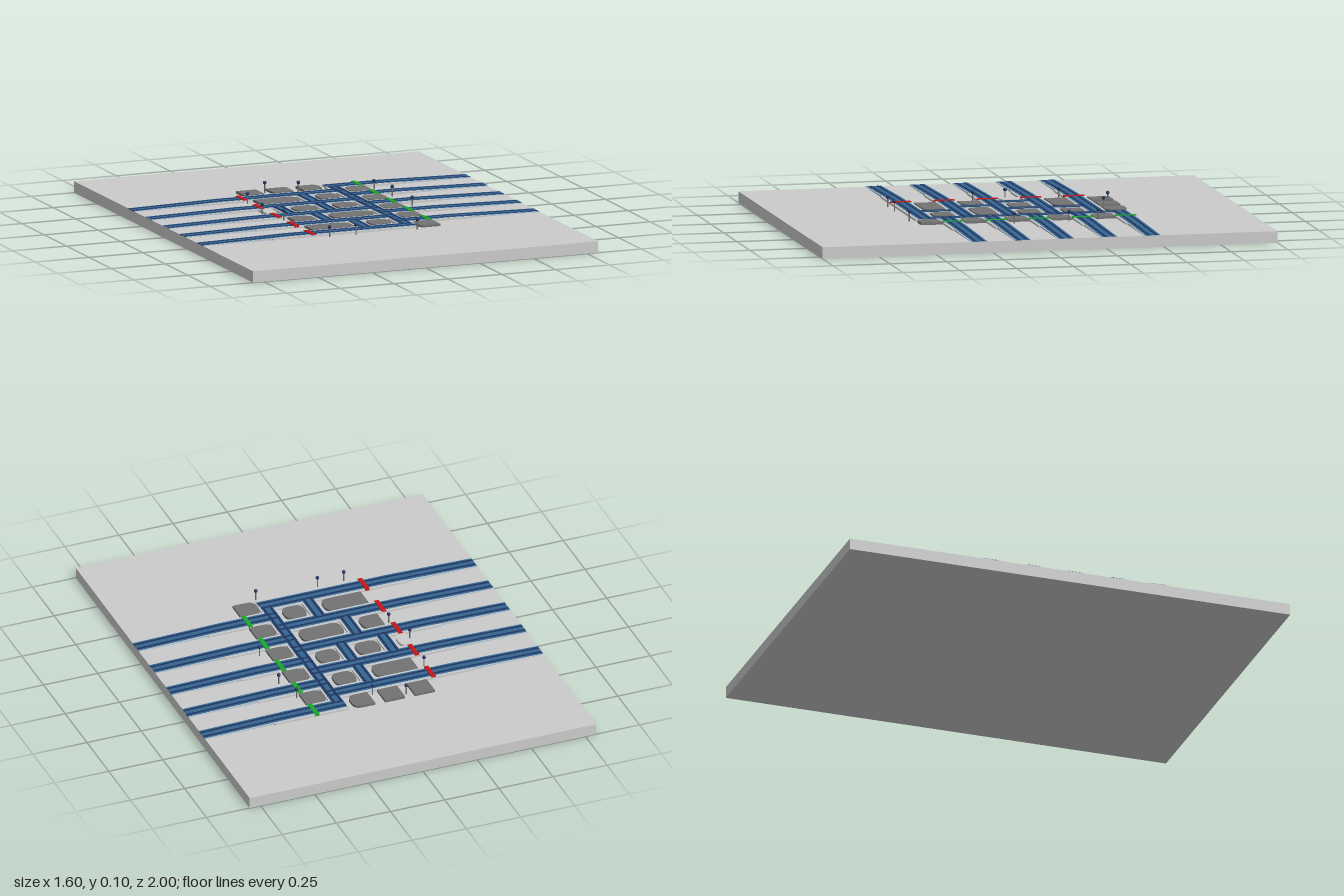
import * as THREE from 'three';

const mat = (color) => new THREE.MeshStandardMaterial({ color });
const grey = mat(0xcccccc), pale = mat(0xb8c8d2), blue = mat(0x34658f), navy = mat(0x1e325f);
const dark = mat(0x737373), red = mat(0xc81414), green = mat(0x18a828);

const BASE = 0.05, DECK = 0.059, RAMP = 0.4, EDGE = 0.8;
const deckY = (x) => Math.abs(x) <= RAMP ? DECK
  : THREE.MathUtils.lerp(DECK, BASE + 0.001, (Math.abs(x) - RAMP) / (EDGE - RAMP));

function add(parent, name, geometry, material, x = 0, y = 0, z = 0) {
  const mesh = new THREE.Mesh(geometry, material);
  mesh.name = name;
  mesh.position.set(x, y, z);
  parent.add(mesh);
  return mesh;
}

// One layer of a road running along x, following the ramp at its outer end
function layerX(parent, name, x0, x1, z, width, lift, material) {
  const xs = [x0, ...[-RAMP, RAMP].filter((x) => x > x0 && x < x1), x1];
  const shape = new THREE.Shape();
  shape.moveTo(x0, BASE - 0.002);
  shape.lineTo(x1, BASE - 0.002);
  xs.reverse().forEach((x) => shape.lineTo(x, deckY(x) + lift));
  const geometry = new THREE.ExtrudeGeometry(shape, { depth: width, bevelEnabled: false });
  add(parent, name, geometry, material, 0, 0, z - width / 2);
}

// One layer of a level road running along z
function layerZ(parent, name, x, z0, z1, width, lift, material) {
  const h = DECK + lift - BASE;
  add(parent, name, new THREE.BoxGeometry(width, h, z1 - z0), material, x, BASE + h / 2, (z0 + z1) / 2);
}

function streetX(parent, x0, x1, z) {
  const street = new THREE.Group();
  street.name = 'longStreet';
  // kerb bed only under the middle part, the pale rim runs to the slab edge
  layerX(street, 'kerb', Math.max(x0, -0.48), Math.min(x1, 0.48), z, 0.09, 0, grey);
  layerX(street, 'rim', x0, x1, z, 0.076, 0.0007, pale);
  layerX(street, 'roadway', x0, x1, z, 0.064, 0.0014, blue);
  for (const s of [-1, 1]) layerX(street, 'laneStripe', x0, x1, z + s * 0.017, 0.011, 0.002, navy);
  parent.add(street);
}

function streetZ(parent, x, z0, z1) {
  const street = new THREE.Group();
  street.name = 'crossStreet';
  layerZ(street, 'kerb', x, z0, z1, 0.066, 0, grey);
  layerZ(street, 'roadway', x, z0, z1, 0.05, 0.0014, blue);
  for (const s of [-1, 1])
    layerZ(street, 'laneStripe', x + s * 0.016, z0 + 0.017, z1 - 0.017, 0.01, 0.002, navy);
  parent.add(street);
}

// City block with optionally rounded left and right ends
function block(parent, x0, x1, z, roundL, roundR, material = dark) {
  const h = 0.0475, a = roundL ? 0.038 : 0, b = roundR ? 0.038 : 0;
  const s = new THREE.Shape();
  s.moveTo(x0 + a, -h);
  s.lineTo(x1 - b, -h);
  if (b) s.quadraticCurveTo(x1, -h, x1, -h + b);
  s.lineTo(x1, h - b);
  if (b) s.quadraticCurveTo(x1, h, x1 - b, h);
  s.lineTo(x0 + a, h);
  if (a) s.quadraticCurveTo(x0, h, x0, h - a);
  s.lineTo(x0, -h + a);
  if (a) s.quadraticCurveTo(x0, -h, x0 + a, -h);
  const geometry = new THREE.ExtrudeGeometry(s, { depth: 0.0105, bevelEnabled: false, curveSegments: 8 });
  geometry.rotateX(-Math.PI / 2);
  add(parent, 'block', geometry, material, 0, BASE, z);
}

export function createModel() {
  const model = new THREE.Group();
  model.name = 'streetGridBoard';
  add(model, 'baseSlab', new THREE.BoxGeometry(1.6, BASE, 2), grey, 0, BASE / 2, 0);

  // Streets entering from each side, staggered by half a pitch
  const leftZ = [-0.357, -0.167, 0.024, 0.214, 0.405];
  const rightZ = [-0.452, -0.262, -0.071, 0.119, 0.31];
  leftZ.forEach((z) => streetX(model, -EDGE, 0.19, z));
  rightZ.forEach((z) => streetX(model, 0.142, EDGE, z));

  // Connecting streets
  streetZ(model, 0.166, -0.452, 0.405);
  streetZ(model, -0.021, -0.357, -0.167);
  streetZ(model, -0.021, -0.167, 0.024);
  streetZ(model, -0.211, -0.167, 0.024);
  streetZ(model, -0.117, 0.024, 0.214);
  streetZ(model, -0.021, 0.214, 0.405);

  // Start and stop bars across the streets
  leftZ.forEach((z) => add(model, 'stopBar', new THREE.BoxGeometry(0.02, 0.01, 0.09), red, -0.29, 0.058, z));
  rightZ.forEach((z) => add(model, 'startBar', new THREE.BoxGeometry(0.02, 0.01, 0.09), green, 0.286, 0.0575, z));

  // Blocks between the streets: x from, x to, z, rounded left, rounded right
  [
    [-0.255, -0.163, -0.454, 0, 0], [-0.118, -0.026, -0.454, 0, 0], [0.02, 0.115, -0.454, 0, 1],
    [-0.255, -0.065, -0.264, 0, 1], [0.02, 0.118, -0.264, 1, 1],
    [-0.17, -0.065, -0.073, 1, 1], [0.02, 0.118, -0.073, 1, 1],
    [-0.255, -0.16, 0.117, 0, 1], [-0.075, 0.118, 0.117, 1, 1],
    [-0.255, -0.065, 0.308, 0, 1], [0.02, 0.118, 0.308, 1, 1],
  ].forEach((b) => block(model, ...b));
  block(model, -0.31, -0.255, -0.073, 0, 1, grey);
  for (let i = 0; i < 5; i++) block(model, 0.2, 0.297, -0.359 + i * 0.1905, 1, 0);

  // Marker pins
  const pole = new THREE.CylinderGeometry(0.003, 0.003, 0.045, 8);
  const ball = new THREE.SphereGeometry(0.008, 12, 8);
  [
    [-0.135, -0.47], [0, -0.42], [0.312, -0.325], [-0.29, -0.29], [0.34, -0.19], [-0.317, -0.06],
    [0.333, 0.05], [-0.28, 0.09], [-0.227, 0.477], [-0.105, 0.475], [0.18, 0.475],
  ].forEach(([x, z]) => {
    const pin = new THREE.Group();
    pin.name = 'markerPin';
    pin.position.set(x, BASE, z);
    add(pin, 'pinPole', pole, dark, 0, 0.0225, 0);
    add(pin, 'pinHead', ball, navy, 0, 0.044, 0);
    model.add(pin);
  });
  return model;
}
